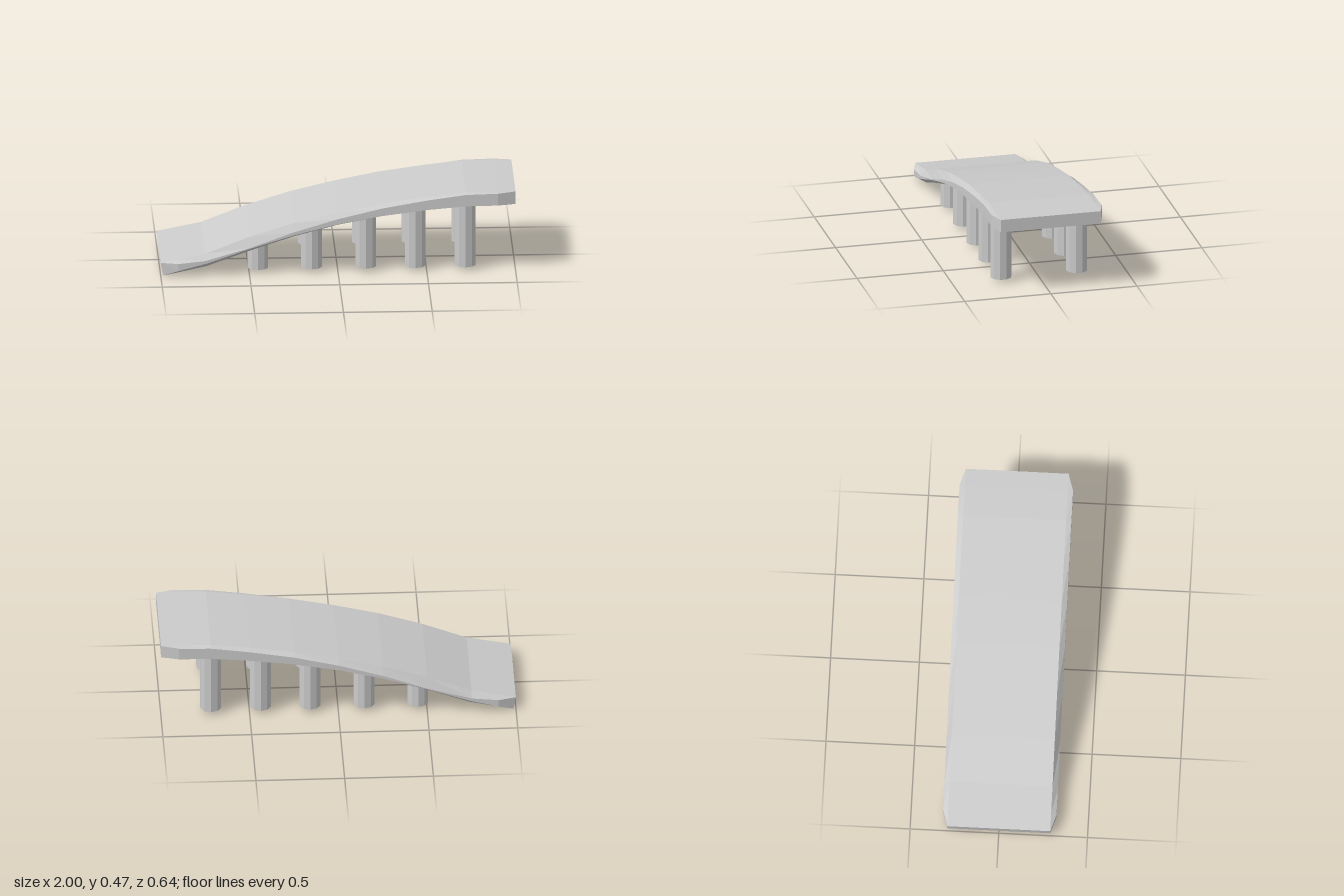
import * as THREE from 'three';

const material = new THREE.MeshStandardMaterial({ color: 0xcccccc, flatShading: true, side: THREE.DoubleSide });

// Deck stations: x of top, x of bottom, top y, bottom y, rim top y, rim bottom y
const stations = [
  [-1.0, -0.985, 0.075, 0.0, 0.075, 0.0],
  [-0.9, -0.9, 0.095, 0.018, 0.076, 0.035],
  [-0.75, -0.74, 0.125, 0.053, 0.092, 0.077],
  [-0.5, -0.5, 0.222, 0.14, 0.165, 0.16],
  [-0.25, -0.25, 0.3, 0.222, 0.255, 0.237],
  [0, 0, 0.36, 0.288, 0.33, 0.3],
  [0.25, 0.25, 0.41, 0.335, 0.39, 0.345],
  [0.5, 0.5, 0.445, 0.37, 0.433, 0.377],
  [0.72, 0.72, 0.47, 0.392, 0.463, 0.396],
  [0.9, 0.9, 0.471, 0.396, 0.468, 0.398],
  [1.0, 1.0, 0.471, 0.397, 0.471, 0.397],
];
const INNER = 0.29, OUTER = 0.32;

// Octagonal section, running over the top, down one rim and back underneath
function section([xt, xb, top, bottom, rimTop, rimBottom], i) {
  const w = i === 0 || i === stations.length - 1 ? INNER : OUTER;
  return [
    [xt, top, -INNER], [xt, top, INNER], [xt, rimTop, w], [xb, rimBottom, w],
    [xb, bottom, INNER], [xb, bottom, -INNER], [xb, rimBottom, -w], [xt, rimTop, -w],
  ];
}

function deckGeometry() {
  const rings = stations.map(section);
  const positions = rings.flat(2);
  const index = [];
  const n = 8;
  for (let i = 0; i < rings.length - 1; i++) {
    for (let j = 0; j < n; j++) {
      const a = i * n + j, b = i * n + (j + 1) % n;
      index.push(a, b, b + n, a, b + n, a + n);
    }
  }
  // End caps
  const last = (rings.length - 1) * n;
  for (let j = 1; j < n - 1; j++) {
    index.push(0, j + 1, j, last, last + j, last + j + 1);
  }
  const geometry = new THREE.BufferGeometry();
  geometry.setAttribute('position', new THREE.Float32BufferAttribute(positions, 3));
  geometry.setIndex(index);
  const flat = geometry.toNonIndexed();
  flat.computeVertexNormals();
  return flat;
}

// Height of the underside at a given x
function undersideAt(x) {
  const i = stations.findIndex((s) => s[1] > x);
  const a = stations[i - 1], b = stations[i];
  return THREE.MathUtils.mapLinear(x, a[1], b[1], a[3], b[3]);
}

export function createModel() {
  const model = new THREE.Group();
  model.name = 'curvedRamp';

  const deck = new THREE.Mesh(deckGeometry(), material);
  deck.name = 'deck';
  model.add(deck);

  // Two rows of ten-sided posts, tops sunk into the deck
  const posts = new THREE.Group();
  posts.name = 'supportPosts';
  const base = 0.022;
  for (const x of [-0.45, -0.148, 0.158, 0.437, 0.718]) {
    const height = undersideAt(x) + 0.03 - base;
    for (const z of [-0.22, 0.22]) {
      const post = new THREE.Mesh(new THREE.CylinderGeometry(0.061, 0.061, height, 10), material);
      post.name = 'supportPost';
      post.position.set(x, base + height / 2, z);
      posts.add(post);
    }
  }
  model.add(posts);
  return model;
}
